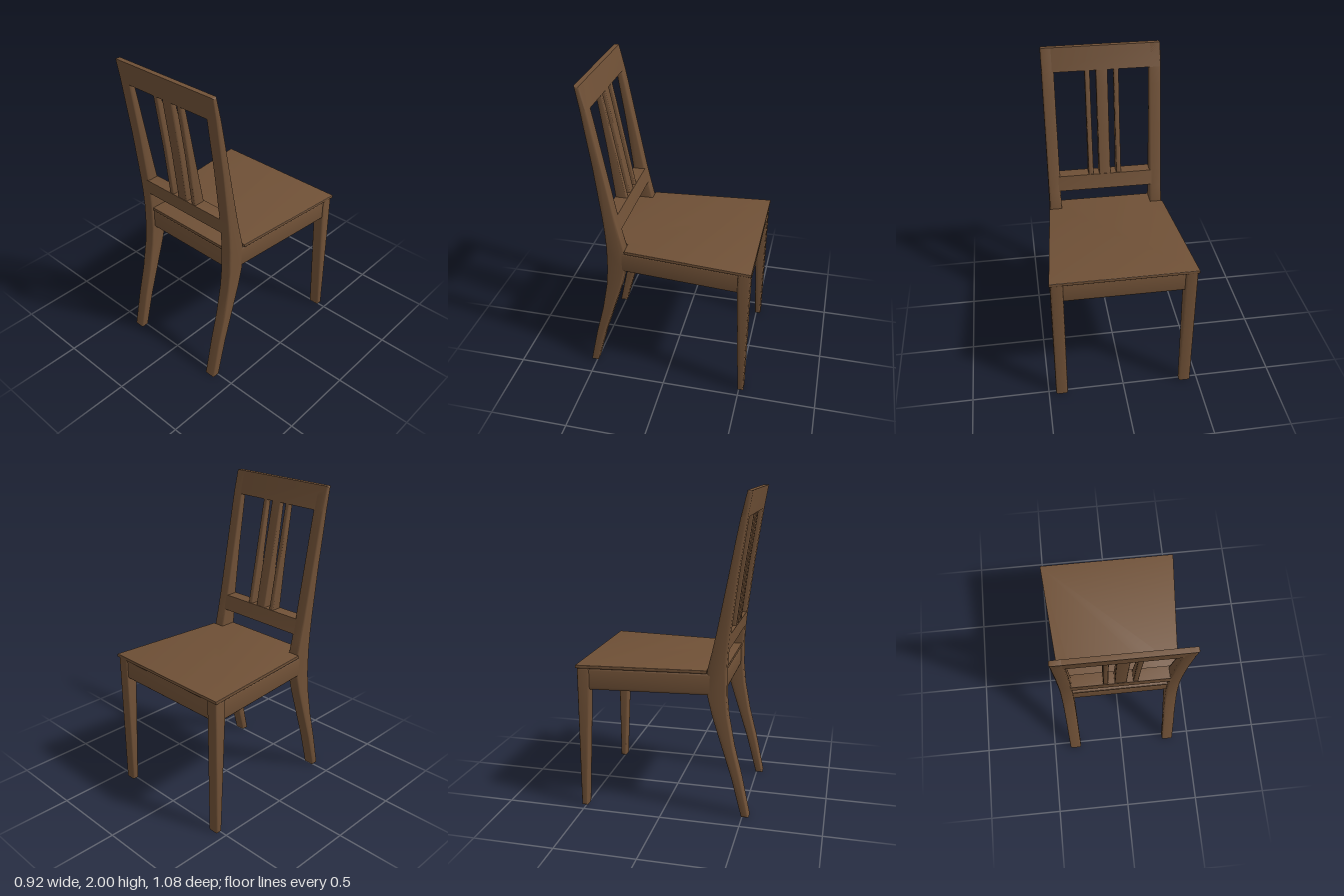
import * as THREE from 'three';
import { toCreasedNormals } from 'three/addons/utils/BufferGeometryUtils.js';

const wood = new THREE.MeshStandardMaterial({ color: 0x6f5036 });
wood.name = 'brown wood';

// Sweep of the back posts: height, seat-side z, outer z
const sweep = [
  [0, 0.493, 0.541], [0.25, 0.428, 0.488], [0.45, 0.365, 0.437], [0.65, 0.302, 0.4],
  [0.78, 0.27, 0.388], [0.94, 0.27, 0.386], [1.05, 0.296, 0.392], [1.16, 0.32, 0.402],
  [1.5, 0.385, 0.443], [1.75, 0.432, 0.48], [1.85, 0.452, 0.494], [2, 0.488, 0.52],
];

function sweepAt(y) {
  const i = Math.max(1, sweep.findIndex((row) => row[0] >= y));
  const a = sweep[i - 1], b = sweep[i];
  const t = (y - a[0]) / (b[0] - a[0]);
  return [y, a[1] + (b[1] - a[1]) * t, a[2] + (b[2] - a[2]) * t];
}

// Extrudes an outline with softened edges that stay inside its size
function softExtrude(points, depth, bevel) {
  const shape = new THREE.Shape(points.map(([u, v]) => new THREE.Vector2(u, v)));
  const geometry = new THREE.ExtrudeGeometry(shape, {
    depth: depth - 2 * bevel, bevelEnabled: bevel > 0, bevelThickness: bevel,
    bevelSize: bevel, bevelOffset: -bevel, bevelSegments: 3,
  });
  return geometry.translate(0, 0, bevel);
}

// Side outline of (z, y) points, running from x0 to x1
function sidePart(points, x0, x1, bevel = 0.012) {
  return softExtrude(points, x1 - x0, bevel).rotateY(-Math.PI / 2).translate(x1, 0, 0);
}

// Plan outline of (x, z) points, running from y0 to y1
function planPart(points, y0, y1, bevel) {
  return softExtrude(points.map(([x, z]) => [x, -z]), y1 - y0, bevel)
    .rotateX(-Math.PI / 2).translate(0, y0, 0);
}

// Slice of the back sweep between two heights
function backPart(y0, y1, x0, x1, inset = 0, bevel = 0.012) {
  const rows = [sweepAt(y0), ...sweep.filter(([y]) => y > y0 + 0.005 && y < y1 - 0.005), sweepAt(y1)];
  const outline = [
    ...rows.map(([y, , outer]) => [outer - inset, y]),
    ...rows.reverse().map(([y, inner]) => [inner + inset, y]),
  ];
  return sidePart(outline, x0, x1, bevel);
}

export function createModel() {
  const chair = new THREE.Group();
  chair.name = 'chair';
  const add = (name, geometry) => {
    const mesh = new THREE.Mesh(toCreasedNormals(geometry, 0.65), wood);
    mesh.name = name;
    chair.add(mesh);
  };

  // Seat board, notched around the back posts
  const half = [[0.46, -0.54], [0.392, 0.268], [0.307, 0.268], [0.307, 0.375]];
  const mirrored = half.map(([x, z]) => [-x, z]).reverse();
  add('seat', planPart([...half, ...mirrored], 0.92, 0.94, 0.002));

  // Legs and side aprons
  const frontLeg = [[-0.53, 0], [-0.491, 0], [-0.456, 0.78], [-0.456, 0.922], [-0.535, 0.922]];
  for (const side of [1, -1]) {
    const label = side > 0 ? 'left' : 'right';
    const span = (a, b) => (side > 0 ? [a, b] : [-b, -a]);
    add(label + 'BackPost', backPart(0, 2, ...span(0.306, 0.385)));
    add(label + 'FrontLeg', sidePart(frontLeg, ...span(0.375, 0.453)));
    const apron = [[0.447, -0.48], [0.384, 0.3], [0.315, 0.3], [0.378, -0.48]];
    add(label + 'Apron', planPart(apron.map(([x, z]) => [side * x, z]), 0.78, 0.925, 0.02));
  }

  // Front and back aprons
  add('frontApron', planPart([[-0.41, -0.525], [0.41, -0.525], [0.41, -0.462], [-0.41, -0.462]], 0.78, 0.925, 0.02));
  add('backApron', planPart([[-0.33, 0.29], [0.33, 0.29], [0.33, 0.37], [-0.33, 0.37]], 0.78, 0.925, 0.02));

  // Backrest rails and slats
  add('topRail', backPart(1.85, 2, -0.385, 0.385));
  add('lowerRail', backPart(1.06, 1.16, -0.33, 0.33));
  for (const [name, x0, x1] of [
    ['centreSlat', -0.038, 0.038], ['leftSlat', 0.077, 0.11], ['rightSlat', -0.11, -0.077],
  ]) {
    add(name, backPart(1.13, 1.88, x0, x1, 0.003, 0.008));
  }

  return chair;
}
